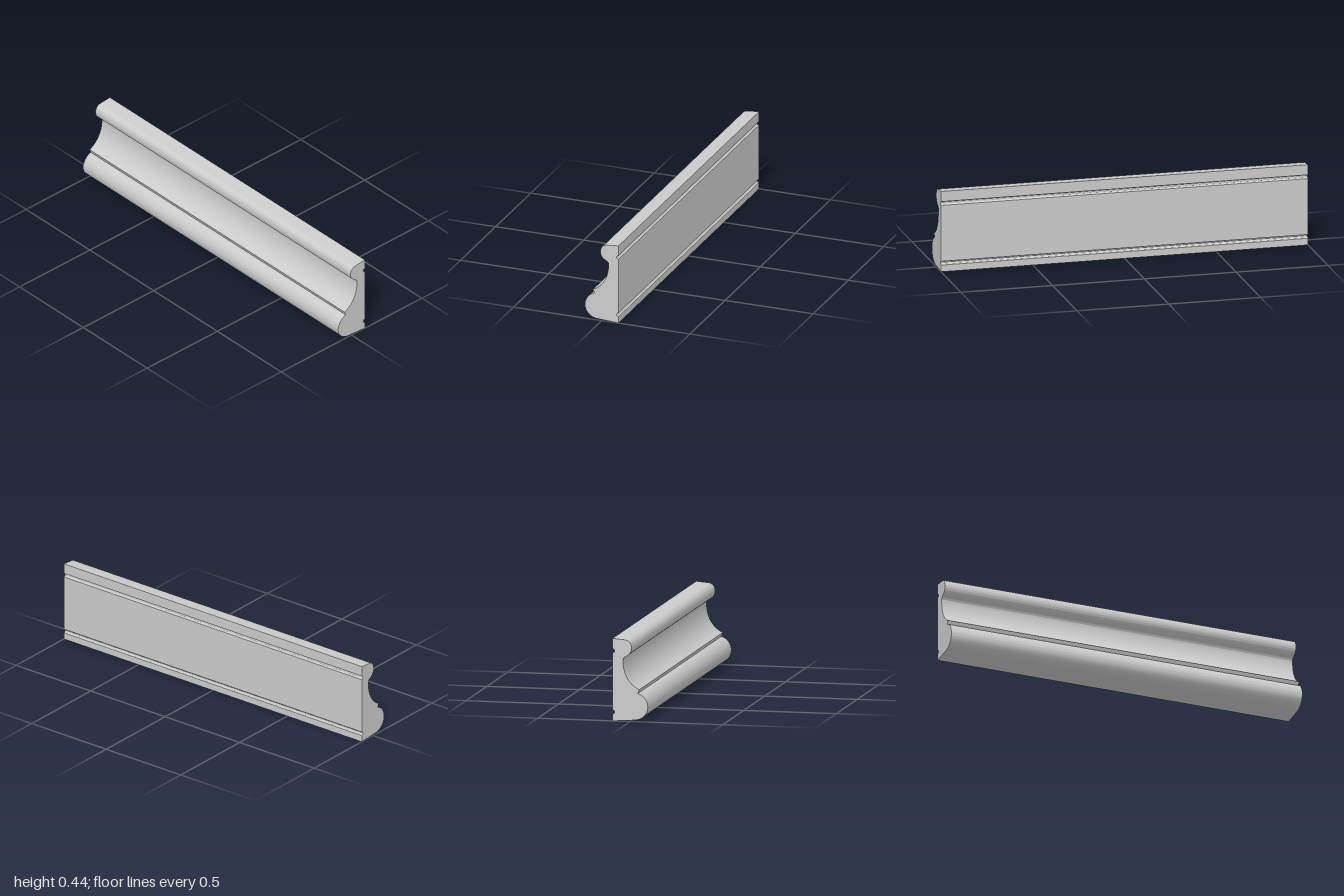
import * as THREE from 'three';
import { toCreasedNormals } from 'three/addons/utils/BufferGeometryUtils.js';

const LENGTH = 2;
const BACK = 0.095;

// Cross-section of the moulding: shape x points to the back, shape y points up
function mouldingProfile() {
  const s = new THREE.Shape();
  s.moveTo(BACK, 0.001);
  s.lineTo(-0.025, 0.009);
  // lower round bulge
  s.bezierCurveTo(-0.065, 0.012, -0.095, 0.042, -0.095, 0.08);
  s.bezierCurveTo(-0.095, 0.112, -0.072, 0.144, -0.041, 0.151);
  // small sharp step
  s.lineTo(-0.049, 0.172);
  // wide cove
  s.bezierCurveTo(0.008, 0.198, 0.039, 0.255, 0.039, 0.325);
  // upper bead
  s.bezierCurveTo(0.039, 0.336, 0.034, 0.341, 0.025, 0.346);
  s.bezierCurveTo(0.0, 0.359, -0.007, 0.375, -0.007, 0.392);
  s.bezierCurveTo(-0.007, 0.415, 0.005, 0.433, 0.028, 0.435);
  s.lineTo(BACK, 0.441);
  // two half-round grooves in the back
  for (const y of [0.375, 0.048]) {
    s.absarc(BACK, y, 0.0105, Math.PI / 2, Math.PI * 1.5, false);
  }
  s.closePath();
  return s;
}

export function createModel() {
  const group = new THREE.Group();
  group.name = 'moulding';

  // Sweep the profile along x
  const extruded = new THREE.ExtrudeGeometry(mouldingProfile(), {
    depth: LENGTH, bevelEnabled: false, curveSegments: 16,
  });
  extruded.translate(0, 0, -LENGTH / 2);
  extruded.rotateY(Math.PI / 2);

  const strip = new THREE.Mesh(
    toCreasedNormals(extruded, Math.PI / 6),
    new THREE.MeshStandardMaterial({ color: 0xcccccc }),
  );
  strip.name = 'mouldingStrip';
  group.add(strip);
  return group;
}
